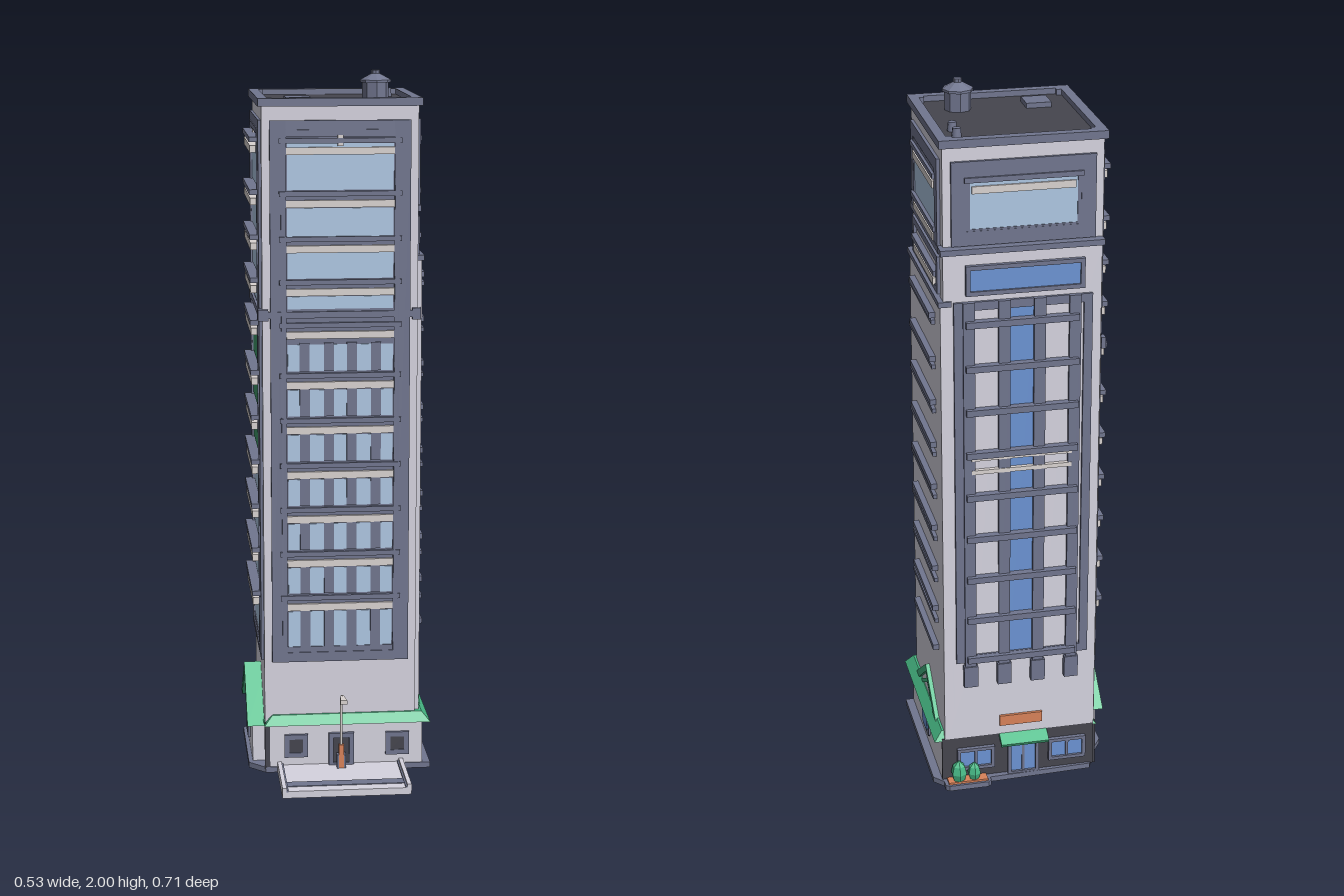
import * as THREE from 'three';

const mat = (name, color) => Object.assign(new THREE.MeshStandardMaterial({ color }), { name });
const M = {
  wall: mat('pale wall', 0xd6d4e0), slate: mat('slate trim', 0x71768f), roof: mat('dark roof', 0x45454e),
  glass: mat('light glass', 0xafc8e4), blue: mat('blue glass', 0x6c94d4), green: mat('green roof', 0x48bb87),
  leaf: mat('green glass', 0x409c6c), orange: mat('orange', 0xd9835a), cream: mat('cream', 0xdad4d2),
};
const CZ = -0.08;      // tower centre in z
const H = 0.217;       // tower half width

function add(parent, name, geo, m) {
  const mesh = new THREE.Mesh(geo, m);
  mesh.name = name;
  parent.add(mesh);
  return mesh;
}
// box from its limits
function box(p, name, m, x0, x1, y0, y1, z0, z1) {
  const b = add(p, name, new THREE.BoxGeometry(x1 - x0, y1 - y0, z1 - z0), m);
  b.position.set((x0 + x1) / 2, (y0 + y1) / 2, (z0 + z1) / 2);
  return b;
}
// rectangular ring of four bars standing on a face
function frame(p, name, m, x0, x1, y0, y1, w, d, z = 0) {
  box(p, name, m, x0, x0 + w, y0, y1, z, z + d);
  box(p, name, m, x1 - w, x1, y0, y1, z, z + d);
  box(p, name, m, x0 + w, x1 - w, y1 - w, y1, z, z + d);
  box(p, name, m, x0 + w, x1 - w, y0, y0 + w, z, z + d);
}
function extrude(pts, depth) {
  const s = new THREE.Shape(pts.map(([x, y]) => new THREE.Vector2(x, y)));
  return new THREE.ExtrudeGeometry(s, { depth, bevelEnabled: false });
}
// faceted solid of revolution
function turned(pts, sides) {
  const g = new THREE.LatheGeometry(pts.map(([x, y]) => new THREE.Vector2(x, y)), sides).toNonIndexed();
  g.computeVertexNormals();
  return g;
}
// inverted V, used for gable roofs
const chevron = (w, y0, y1, t, d) =>
  extrude([[-w, y0], [-w + t * 1.6, y0], [0, y1 - t], [w - t * 1.6, y0], [w, y0], [0, y1]], d);
// group whose local +z points out of one tower side
function side(root, name, angle, dist) {
  const g = new THREE.Group();
  g.name = name;
  g.rotation.y = angle;
  g.position.set(Math.sin(angle) * dist, 0, CZ + Math.cos(angle) * dist);
  root.add(g);
  return g;
}
function windowBox(g, y0, y1, w, m, d = 0.008) {
  box(g, 'windowGlass', m, -w, w, y0, y1, 0, 0.006);
  frame(g, 'windowFrame', M.slate, -w - 0.012, w + 0.012, y0 - 0.012, y1 + 0.012, 0.012, d);
}
// overhanging ledge with a pale band below it
function ledgePair(g, y, w, d) {
  box(g, 'ledge', M.slate, -w, w, y - 0.007, y + 0.007, 0, d);
  box(g, 'sillBand', M.cream, -w + 0.02, w - 0.02, y - 0.038, y - 0.018, 0, d - 0.003);
}
// full-height glazed facade, used on the front and on the -x side
function tallFacade(g, d, pane, mullions) {
  box(g, 'facadePanel', M.slate, -0.15, 0.15, 0.34, 1.86, 0, 0.003);
  frame(g, 'facadeFrame', M.slate, -0.195, 0.195, 0.33, 1.87, 0.045, 0.008);
  frame(g, 'facadeRim', M.slate, -0.165, 0.165, 0.345, 1.845, 0.014, 0.011);
  box(g, 'topGlass', M.glass, -0.147, 0.147, 1.68, 1.82, 0, 0.005);
  box(g, 'topLatch', M.cream, -0.008, 0.008, 1.8, 1.83, 0, 0.012);
  [[1.55, 1.63], [1.435, 1.51], [1.35, 1.385]].forEach(([a, b]) =>
    box(g, 'upperGlass', M.glass, -0.147, 0.147, a, b, 0, 0.005));
  [1.815, 1.67, 1.545, 1.425, 1.305].forEach(y => ledgePair(g, y, 0.17, d));
  for (let i = 0; i < 7; i++) {
    const y = 1.175 - i * 0.1285, low = i === 6 ? 0.36 : y;
    box(g, 'floorGlass', pane(i), -0.147, 0.147, low, y + 0.075, 0, 0.005);
    mullions.forEach(x => box(g, 'mullion', M.slate, x - 0.014, x + 0.014, low, y + 0.08, 0, 0.008));
    if (i < 6) ledgePair(g, y - 0.012, 0.17, d);
  }
  // belt across the facade and its corner clips
  box(g, 'belt', M.slate, -0.222, 0.222, 1.325, 1.343, 0, 0.01);
  [-1, 1].forEach(s => box(g, 'beltClip', M.slate, s * 0.213 - 0.012, s * 0.213 + 0.012, 1.318, 1.35, 0, 0.012));
}

export function createModel() {
  const root = new THREE.Group();
  root.name = 'towerBlock';

  // tower bodies
  box(root, 'towerBody', M.wall, -H, H, 0.15, 1.91, CZ - H, CZ + H);
  box(root, 'sideBlock', M.wall, 0.2, 0.23, 0.15, 1.48, -0.32, 0.125);
  box(root, 'sideBlockCap', M.slate, 0.2, 0.236, 1.48, 1.495, -0.326, 0.131);
  box(root, 'backBlock', M.wall, -0.21, 0.222, 0.15, 1.625, -0.32, -0.28);
  box(root, 'backBlockCap', M.slate, -0.217, 0.229, 1.622, 1.638, -0.326, -0.28);

  // roof and parapet
  box(root, 'roofDeck', M.roof, -0.2, 0.2, 1.9, 1.914, CZ - 0.2, CZ + 0.2);
  const rim = new THREE.Group();
  rim.name = 'parapet';
  rim.rotation.x = -Math.PI / 2;
  rim.position.set(0, 1.908, CZ);
  root.add(rim);
  frame(rim, 'parapetBar', M.slate, -0.227, 0.227, -0.227, 0.227, 0.027, 0.022);
  [-1, 1].forEach(a => [-1, 1].forEach(b =>
    box(rim, 'parapetCorner', M.slate, a * 0.194 - 0.008, a * 0.194 + 0.008, b * 0.194 - 0.008, b * 0.194 + 0.008, 0, 0.022)));
  box(root, 'roofHatch', M.slate, -0.145, -0.075, 1.91, 1.928, -0.005, 0.065);
  add(root, 'waterTank', turned([[0.037, 1.91], [0.037, 1.966], [0.043, 1.966], [0.043, 1.973], [0.012, 1.99], [0.012, 2], [0, 2]], 8),
    M.slate).position.set(0.108, 0, 0.03);
  [-0.225, -0.167].forEach(z =>
    add(root, 'roofPipe', new THREE.CylinderGeometry(0.011, 0.014, 0.03, 10), M.slate).position.set(0.163, 1.924, z));

  // front and -x facades
  const front = side(root, 'frontFacade', 0, H);
  tallFacade(front, 0.014, () => M.glass, [-0.1, -0.032, 0.032, 0.1]);
  const west = side(root, 'rightFacade', -Math.PI / 2, H);
  tallFacade(west, 0.031, i => (i < 3 ? M.leaf : M.glass), []);

  // +x side: upper windows over a louvred wall
  const east = side(root, 'leftFacade', Math.PI / 2, H);
  frame(east, 'upperFrame', M.slate, -0.185, 0.185, 1.625, 1.87, 0.036, 0.009);
  windowBox(east, 1.675, 1.82, 0.145, M.glass);
  ledgePair(east, 1.815, 0.16, 0.016);
  ledgePair(east, 1.67, 0.16, 0.016);
  box(east, 'upperBelt', M.slate, -0.2, 0.2, 1.615, 1.633, 0, 0.01);
  frame(east, 'lowerFrame', M.slate, -0.18, 0.18, 1.49, 1.6, 0.02, 0.009);
  box(east, 'lowerGlass', M.blue, -0.16, 0.16, 1.49, 1.53, 0, 0.005);
  ledgePair(east, 1.545, 0.16, 0.016);
  for (let i = 0; i < 9; i++) {
    const y = 1.43 - i * 0.127, y2 = 1.41 - i * 0.13;
    box(east, 'louver', M.slate, -0.13, 0.165, y - 0.008, y + 0.008, 0, 0.03);
    if (i < 8) box(east, 'louver', M.slate, -0.17, 0.165, y2 - 0.006, y2 + 0.006, 0, 0.024);
  }

  // back: upper window over a pilastered facade
  const backTop = side(root, 'backUpperFacade', Math.PI, H);
  frame(backTop, 'upperFrame', M.slate, -0.195, 0.195, 1.64, 1.87, 0.04, 0.009);
  windowBox(backTop, 1.685, 1.82, 0.145, M.glass);
  ledgePair(backTop, 1.82, 0.16, 0.014);
  const back = side(root, 'backFacade', Math.PI, 0.24);
  windowBox(back, 1.52, 1.58, 0.15, M.blue, 0.012);
  frame(back, 'backFrame', M.slate, -0.195, 0.185, 0.4, 1.49, 0.024, 0.008);
  for (let i = 0; i < 4; i++) {
    const u = -0.155 + i * 0.097;
    box(back, 'pilaster', M.slate, u - 0.016, u + 0.016, 0.36, 1.49, 0, 0.014);
    box(back, 'pilasterFoot', M.slate, u - 0.02, u + 0.02, 0.325, 0.39, 0, 0.018);
    if (i < 3) box(back, 'bayStrip', i === 1 ? M.blue : M.wall, u + 0.016, u + 0.081, 0.42, 1.47, 0, 0.004);
  }
  for (let i = 0; i < 9; i++) {
    const y = 1.43 - i * 0.127;
    box(back, 'backLedge', M.slate, -0.165, 0.145, y - 0.009, y + 0.009, 0, 0.026);
  }
  for (let k = 0; k < 2; k++) box(back, 'middleBand', M.cream, -0.15, 0.13, 0.99 + k * 0.04, 1.002 + k * 0.04, 0, 0.016);

  // ground slab and ground floor
  const slab = add(root, 'groundSlab', extrude([[-0.215, -0.147], [-0.262, -0.1], [-0.262, 0.2], [-0.23, 0.25], [-0.2, 0.325],
    [0.1, 0.335], [0.1, 0.35], [0.11, 0.359], [0.225, 0.359], [0.235, 0.35], [0.235, 0.33], [0.262, 0.3], [0.262, -0.147]], 0.016), M.slate);
  slab.rotation.x = -Math.PI / 2;
  box(root, 'groundFloor', M.wall, -0.21, 0.238, 0.01, 0.155, -0.31, 0.143);
  [0.143, -0.305].forEach(z =>
    box(root, 'cornerPost', M.roof, -0.218, -0.203, 0.01, 0.15, z - 0.008, z + 0.003));

  // green skirt roof, narrowed at the top
  const skirt = new THREE.BoxGeometry(0.48, 0.028, 0.478);
  const sp = skirt.attributes.position;
  for (let i = 0; i < sp.count; i++) if (sp.getY(i) > 0) {
    sp.setX(i, sp.getX(i) * 0.9);
    sp.setZ(i, sp.getZ(i) * 0.93);
  }
  const skirtGeo = skirt.toNonIndexed();
  skirtGeo.computeVertexNormals();
  add(root, 'skirtRoof', skirtGeo, M.green).position.set(0.02, 0.157, -0.079);

  // front door and windows
  const fg = side(root, 'groundFront', 0, 0.224);
  box(fg, 'frontDoor', M.roof, -0.022, 0.027, 0.016, 0.105, 0, 0.005);
  frame(fg, 'doorFrame', M.slate, -0.034, 0.039, 0.012, 0.115, 0.014, 0.012);
  [-0.128, 0.165].forEach(x => {
    frame(fg, 'groundWindowFrame', M.slate, x - 0.034, x + 0.034, 0.045, 0.113, 0.014, 0.009);
    box(fg, 'groundWindow', M.roof, x - 0.02, x + 0.02, 0.059, 0.099, 0, 0.006);
  });

  // +x ground window with cut corners, and ornamental gable
  const eg = side(root, 'groundLeft', Math.PI / 2, 0.238);
  const octagon = (w, h, c) => [[-w, -h + c], [-w + c, -h], [w - c, -h], [w, -h + c], [w, h - c], [w - c, h], [-w + c, h], [-w, h - c]];
  add(eg, 'groundWindowFrame', extrude(octagon(0.052, 0.036, 0.01), 0.005), M.slate).position.y = 0.08;
  add(eg, 'groundWindow', extrude(octagon(0.038, 0.024, 0.012), 0.008), M.blue).position.y = 0.08;
  const gx = 0.01;
  add(eg, 'gableTrim', chevron(0.15, 0.165, 0.272, 0.024, 0.014), M.green).position.set(gx, 0, -0.01);
  add(eg, 'gableTrimInner', chevron(0.1, 0.165, 0.225, 0.014, 0.01), M.green).position.set(gx, 0, -0.01);
  add(eg, 'gablePanel', extrude([[-0.12, 0.165], [0.12, 0.165], [0, 0.25]], 0.006), M.wall).position.set(gx, 0, -0.01);

  // -x gabled annex
  const wg = side(root, 'groundRight', -Math.PI / 2, 0.2);
  add(wg, 'annexWall', extrude([[-0.14, 0.01], [0.14, 0.01], [0.14, 0.145], [0, 0.255], [-0.14, 0.145]], 0.05), M.wall).position.x = 0.027;
  add(wg, 'annexRoof', chevron(0.167, 0.13, 0.272, 0.024, 0.066), M.green).position.x = 0.027;
  frame(wg, 'annexWindowFrame', M.slate, -0.01, 0.06, 0.05, 0.11, 0.012, 0.008, 0.05);
  box(wg, 'annexWindow', M.roof, 0, 0.05, 0.06, 0.1, 0.05, 0.055);

  // back shop front
  const bg = side(root, 'shopFront', Math.PI, 0.23);
  box(bg, 'shopWall', M.roof, -0.238, 0.21, 0.012, 0.15, 0, 0.008);
  box(bg, 'shopDoor', M.blue, -0.036, 0.036, 0.016, 0.11, 0.008, 0.013);
  frame(bg, 'shopDoorFrame', M.slate, -0.046, 0.046, 0.012, 0.122, 0.01, 0.012, 0.008);
  box(bg, 'shopDoorSplit', M.slate, -0.004, 0.004, 0.016, 0.115, 0.008, 0.016);
  [-0.14, 0.13].forEach(x => {
    box(bg, 'shopWindow', M.blue, x - 0.045, x + 0.045, 0.055, 0.105, 0.008, 0.013);
    frame(bg, 'shopWindowFrame', M.slate, x - 0.055, x + 0.055, 0.045, 0.115, 0.01, 0.012, 0.008);
    box(bg, 'shopWindowSplit', M.slate, x - 0.004, x + 0.004, 0.05, 0.11, 0.008, 0.017);
  });
  box(bg, 'awning', M.green, -0.07, 0.07, 0.13, 0.142, 0, 0.044).rotation.x = 0.5;
  box(bg, 'signBoard', M.orange, -0.07, 0.055, 0.18, 0.212, 0, 0.018);

  // planter with two rounded bushes
  box(root, 'planterSoil', M.orange, 0.11, 0.225, 0.012, 0.022, -0.352, -0.32);
  [[0.193, 0.024], [0.148, 0.02]].forEach(([x, r]) =>
    add(root, 'bush', turned([[0, 0], [0.7 * r, 0], [r, r], [0.75 * r, 2 * r], [0, 2.7 * r]], 6), M.green).position.set(x, 0.02, -0.335));

  // front forecourt with kerbs and stripe
  box(root, 'forecourt', M.wall, -0.17, 0.17, 0, 0.02, 0.14, 0.355);
  [-1, 1].forEach(s => {
    box(root, 'kerb', M.wall, s * 0.176 - 0.006, s * 0.176 + 0.006, 0, 0.03, 0.14, 0.355);
    box(root, 'kerbLine', M.slate, s * 0.168 - 0.003, s * 0.168 + 0.003, 0.018, 0.024, 0.14, 0.355);
  });
  box(root, 'forecourtStripe', M.slate, -0.165, 0.165, 0.016, 0.022, 0.285, 0.32);

  // street lamp
  const arm = new THREE.CatmullRomCurve3([[0.03, 0.177], [0.13, 0.177], [0.215, 0.177], [0.237, 0.185], [0.243, 0.21]]
    .map(([y, z]) => new THREE.Vector3(0, y, z)));
  add(root, 'lampPole', new THREE.TubeGeometry(arm, 16, 0.004, 6), M.cream);
  const head = add(root, 'lampHead', extrude([[-0.005, -0.205], [-0.01, -0.25], [0.01, -0.25], [0.005, -0.205]], 0.012), M.cream);
  head.rotation.x = -Math.PI / 2;
  head.position.y = 0.234;
  box(root, 'lampBase', M.orange, -0.007, 0.007, 0.02, 0.09, 0.17, 0.184);
  [-1, 1].forEach(s => box(root, 'lampBracket', M.slate, s * 0.01 - 0.003, s * 0.01 + 0.003, 0.02, 0.06, 0.162, 0.185));
  return root;
}
